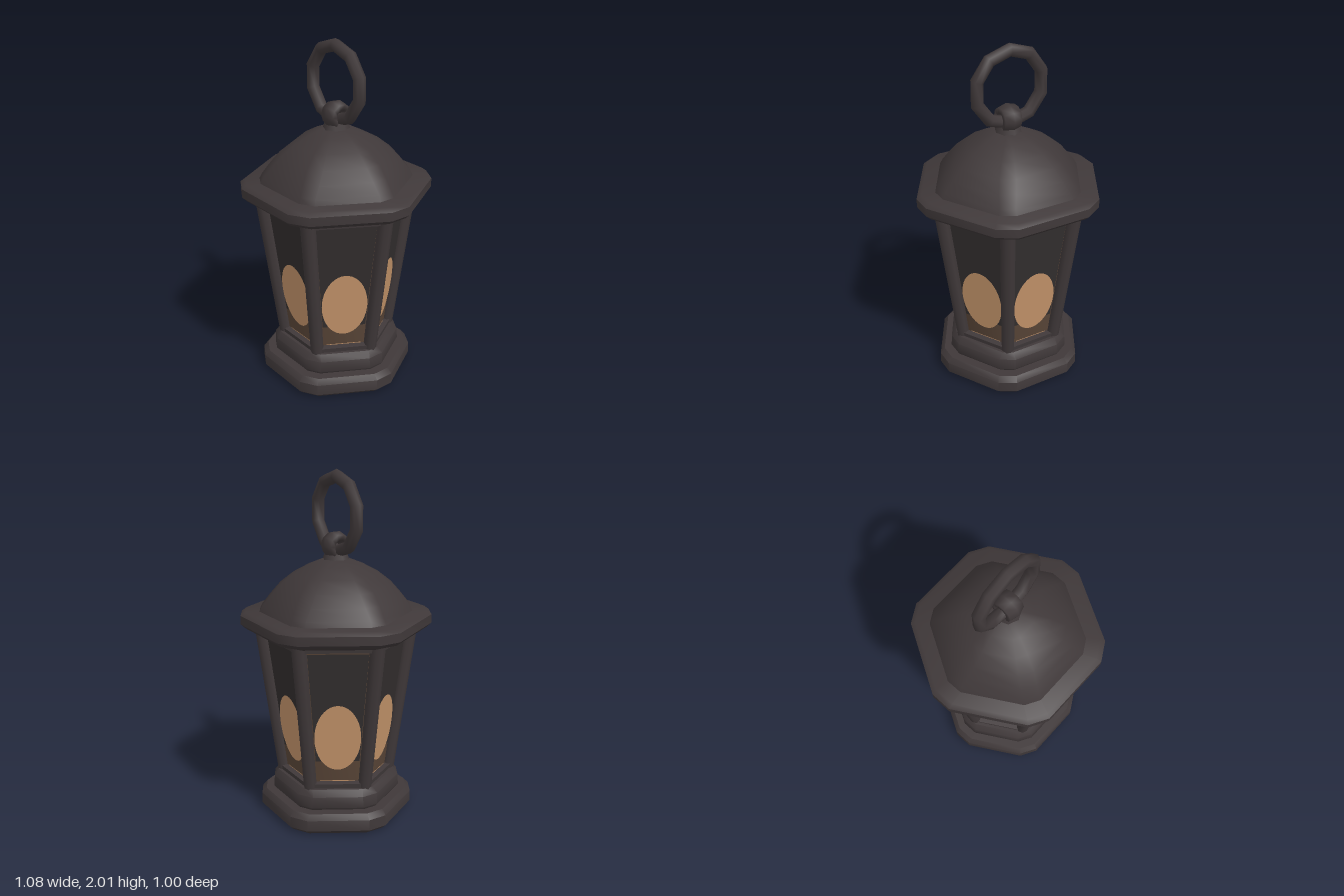
import * as THREE from 'three';
import { toCreasedNormals, mergeVertices } from 'three/addons/utils/BufferGeometryUtils.js';

const iron = new THREE.MeshStandardMaterial({ color: 0x3f3839 });
iron.name = 'iron';
const darkPane = new THREE.MeshStandardMaterial({ color: 0x322e2e });
darkPane.name = 'dark pane';
const brownGlass = new THREE.MeshStandardMaterial({ color: 0x5a4638 });
brownGlass.name = 'brown glass';
const glow = new THREE.MeshStandardMaterial({ color: 0xc4946a });
glow.name = 'amber glow';

const SIXTH = Math.PI / 3;

function add(parent, name, geometry, material) {
  const mesh = new THREE.Mesh(geometry, material);
  mesh.name = name;
  parent.add(mesh);
  return mesh;
}

// Hexagon with clipped corners: a = distance to the flats, r = distance to the clipped corners
function section(a, r, y) {
  const half = Math.max(0, (a - r * Math.cos(Math.PI / 6)) / 0.5);
  const points = [];
  for (let k = 0; k < 6; k++) {
    for (const s of [-1, 1]) {
      const c = Math.cos(k * SIXTH), n = Math.sin(k * SIXTH);
      points.push(new THREE.Vector3(r * c - s * half * n, y, r * n + s * half * c));
    }
  }
  return points;
}

// Skin a stack of [flat distance, corner distance, y], bottom to top, with closed ends
function loft(profile, crease = 0.7) {
  const first = profile[0], last = profile[profile.length - 1];
  const rings = [[0, 0, first[2]], ...profile, [0, 0, last[2]]].map((p) => section(...p));
  const out = [];
  const tri = (a, b, c) => {
    const area = b.clone().sub(a).cross(c.clone().sub(a)).length();
    if (area > 1e-8) for (const p of [a, b, c]) out.push(p.x, p.y, p.z);
  };
  for (let i = 0; i < rings.length - 1; i++) {
    for (let j = 0; j < 12; j++) {
      const k = (j + 1) % 12;
      tri(rings[i][j], rings[i + 1][j], rings[i + 1][k]);
      tri(rings[i][j], rings[i + 1][k], rings[i][k]);
    }
  }
  const geometry = new THREE.BufferGeometry();
  geometry.setAttribute('position', new THREE.Float32BufferAttribute(out, 3));
  return mergeVertices(toCreasedNormals(geometry, crease));
}

// Flat trapezium plate facing +z
function plate(w0, v0, w1, v1) {
  return new THREE.ShapeGeometry(new THREE.Shape([
    new THREE.Vector2(-w0, v0), new THREE.Vector2(w0, v0),
    new THREE.Vector2(w1, v1), new THREE.Vector2(-w1, v1),
  ]));
}

export function createModel() {
  const lantern = new THREE.Group();
  lantern.name = 'lantern';

  // Stepped base
  add(lantern, 'baseSlab', loft([
    [0.39, 0.42, 0], [0.415, 0.447, 0.025], [0.415, 0.447, 0.09], [0.39, 0.42, 0.12],
  ]), iron);
  add(lantern, 'basePlinth', loft([
    [0.33, 0.36, 0.11], [0.348, 0.375, 0.135], [0.345, 0.37, 0.2], [0.315, 0.345, 0.235],
  ]), iron);

  // Tapered glass body
  const y0 = 0.23, y1 = 1.13, a0 = 0.262, a1 = 0.362;
  add(lantern, 'glassBody', loft([
    [a0, a0 * 1.12, y0], [a1, a1 * 1.12, y1],
  ]), brownGlass);

  // Corner posts
  const up = new THREE.Vector3(0, 1, 0);
  for (let k = 0; k < 6; k++) {
    const c = Math.cos(k * SIXTH), s = Math.sin(k * SIXTH);
    const low = new THREE.Vector3(0.31 * c, 0.21, 0.31 * s);
    const high = new THREE.Vector3(0.43 * c, 1.14, 0.43 * s);
    const along = high.clone().sub(low);
    const post = add(lantern, 'cornerPost', new THREE.CylinderGeometry(0.043, 0.038, along.length(), 8), iron);
    post.position.copy(low).add(high).multiplyScalar(0.5);
    post.quaternion.setFromUnitVectors(up, along.normalize());
  }

  // Six leaning window panels with glowing ovals and rails
  const oval = new THREE.Shape();
  oval.absellipse(0, 0, 0.132, 0.205, 0, Math.PI * 2);
  for (let k = 0; k < 6; k++) {
    const side = new THREE.Group();
    side.name = 'windowSide';
    side.rotation.y = k * SIXTH;
    lantern.add(side);
    const panel = new THREE.Group();
    panel.name = 'windowPanel';
    panel.position.set(0, y0, a0);
    panel.rotation.x = Math.atan2(a1 - a0, y1 - y0);
    side.add(panel);

    add(panel, 'darkPane', plate(0.125, 0.17, 0.168, 0.835), darkPane).position.z = 0.003;
    add(panel, 'glowOval', new THREE.ShapeGeometry(oval, 20), glow).position.set(0, 0.32, 0.006);
    add(panel, 'upperGlint', plate(0.13, 0.842, 0.13, 0.85), glow).position.z = 0.004;
    add(panel, 'lowerGlint', plate(0.1, 0.038, 0.1, 0.043), glow).position.z = 0.004;
    add(panel, 'upperRail', new THREE.BoxGeometry(0.42, 0.06, 0.05), iron).position.set(0, 0.885, 0.01);
    add(panel, 'lowerRail', new THREE.BoxGeometry(0.29, 0.05, 0.05), iron).position.set(0, 0.01, 0.01);
  }

  // Roof rim and rounded dome
  add(lantern, 'roofRim', loft([
    [0.41, 0.45, 1.1], [0.475, 0.515, 1.125], [0.5, 0.542, 1.15], [0.5, 0.542, 1.2], [0.475, 0.515, 1.22],
  ]), iron);
  add(lantern, 'roofDome', loft([
    [0.41, 0.445, 1.2], [0.385, 0.42, 1.25], [0.345, 0.372, 1.31], [0.295, 0.315, 1.375],
    [0.225, 0.24, 1.435], [0.14, 0.15, 1.485], [0.07, 0.075, 1.515],
  ], 1.1), iron);

  // Neck, eyelet and hanging ring
  const neck = add(lantern, 'neck', new THREE.CylinderGeometry(0.06, 0.085, 0.07, 8), iron);
  neck.position.y = 1.525;
  const eyelet = add(lantern, 'eyelet', new THREE.TorusGeometry(0.052, 0.03, 6, 10), iron);
  eyelet.rotation.y = Math.PI / 2;
  eyelet.scale.z = 2;
  eyelet.position.y = 1.588;
  const ring = add(lantern, 'hangingRing', new THREE.TorusGeometry(0.208, 0.037, 7, 10), iron);
  ring.rotation.z = Math.PI / 10;
  ring.position.set(-0.008, 1.765, 0);

  return lantern;
}
